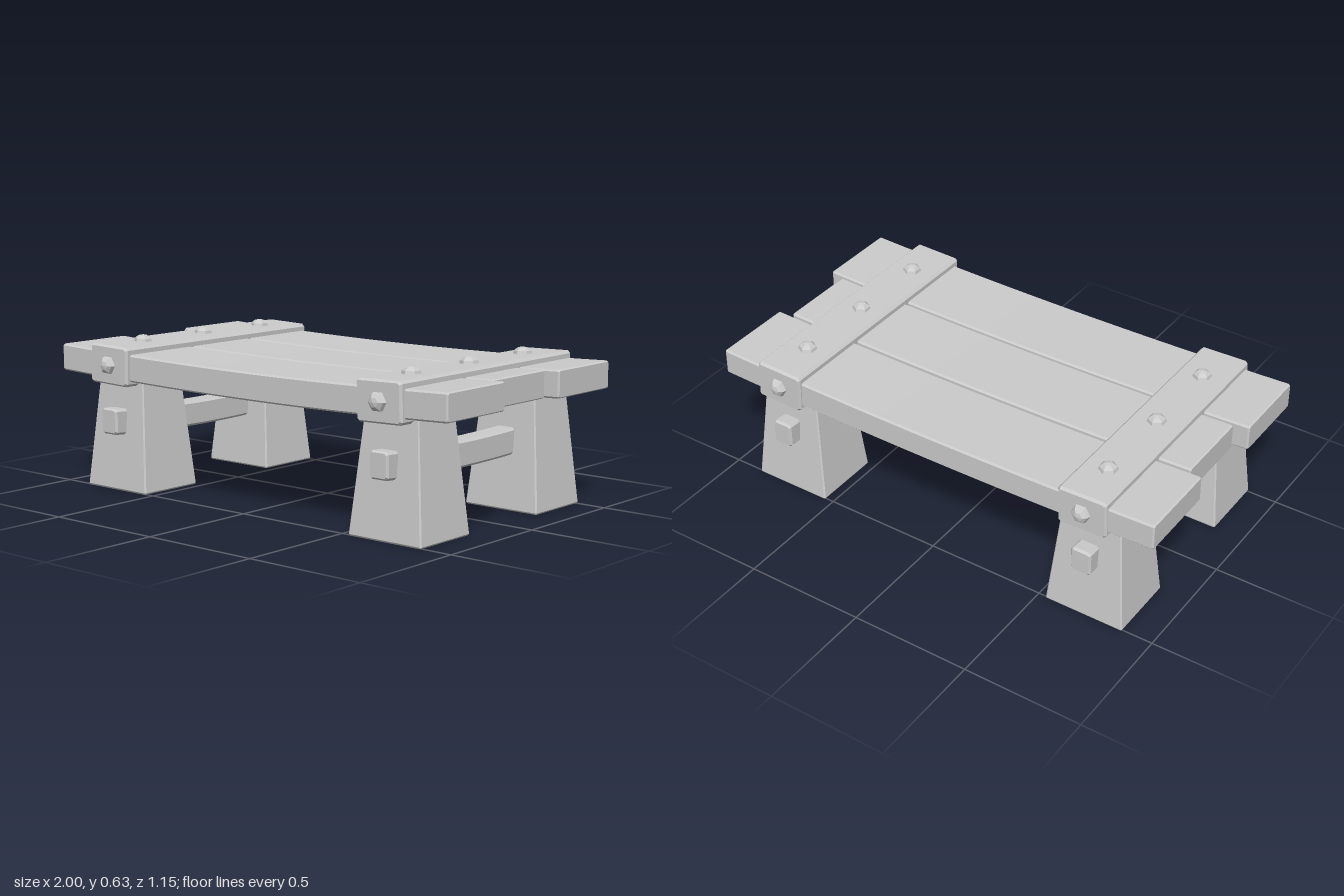
import * as THREE from 'three';
import { toCreasedNormals } from 'three/addons/utils/BufferGeometryUtils.js';

const material = new THREE.MeshStandardMaterial({ color: 0xcccccc });
const facetedMaterial = new THREE.MeshStandardMaterial({ color: 0xcccccc, flatShading: true });

// Chamfered timber, w x h in section, running along z and centred on the origin.
function timber(w, h, length, bevel, steps = 1) {
  const x = w / 2, y = h / 2, c = bevel;
  const shape = new THREE.Shape([
    [x - c, -y], [x, c - y], [x, y - c], [x - c, y],
    [c - x, y], [-x, y - c], [-x, c - y], [c - x, -y],
  ].map(([a, b]) => new THREE.Vector2(a, b)));
  const geometry = new THREE.ExtrudeGeometry(shape, {
    depth: length - 2 * bevel, steps, bevelEnabled: true, bevelSegments: 1,
    bevelSize: bevel * 0.7, bevelOffset: -bevel * 0.7, bevelThickness: bevel,
  });
  return geometry.translate(0, 0, bevel - length / 2);
}

// Moves every vertex by a rule, then restores crisp edges.
function reshape(geometry, rule) {
  const p = geometry.attributes.position, v = new THREE.Vector3();
  for (let i = 0; i < p.count; i++) {
    rule(v.fromBufferAttribute(p, i));
    p.setXYZ(i, v.x, v.y, v.z);
  }
  return toCreasedNormals(geometry, 0.3);
}

function add(parent, name, geometry, mat = material) {
  const mesh = new THREE.Mesh(geometry, mat);
  mesh.name = name;
  parent.add(mesh);
  return mesh;
}

export function createModel() {
  const model = new THREE.Group();
  model.name = 'bench';

  // Sagging seat planks: x start, x end, z start, z end
  const planks = [
    [-0.995, 0.987, -0.528, -0.182],
    [-0.94, 0.932, -0.168, 0.165],
    [-1, 0.996, 0.178, 0.523],
  ];
  for (const [x0, x1, z0, z1] of planks) {
    const geometry = timber(z1 - z0, 0.11, x1 - x0, 0.007, 16).rotateY(Math.PI / 2);
    geometry.translate((x0 + x1) / 2, 0.505, (z0 + z1) / 2);
    add(model, 'seatPlank', reshape(geometry, v => { v.y += 0.02 * v.x * v.x; }));
  }

  // Six-sided domed bolt head pointing up
  const boltGeometry = new THREE.SphereGeometry(0.04, 6, 3, Math.PI / 6, Math.PI * 2, 0, Math.PI / 2);
  boltGeometry.scale(1, 0.8, 1);

  for (const side of [-1, 1]) {
    // Cross band with bolts, tilted to follow the sag
    const band = new THREE.Group();
    band.name = 'crossBand';
    band.position.set(side * 0.702, 0.519, 0);
    band.rotation.z = side * 0.028;
    model.add(band);
    add(band, 'bandBeam', reshape(timber(0.208, 0.16, 1.088, 0.011), () => {}));
    for (const z of [-0.355, -0.003, 0.35]) {
      add(band, 'topBolt', boltGeometry, facetedMaterial).position.set(0, 0.076, z);
    }
    for (const end of [-1, 1]) {
      const bolt = add(band, 'endBolt', boltGeometry, facetedMaterial);
      bolt.position.set(0, 0, end * 0.542);
      bolt.rotation.set(end * Math.PI / 2, Math.PI / 6, 0);

      // Tapered leg
      const leg = timber(0.34, 0.296, 0.47, 0.006).rotateX(-Math.PI / 2).translate(0, 0.235, 0);
      add(model, 'leg', reshape(leg, v => {
        v.x *= 1 - 0.265 * v.y / 0.46;
        v.z *= 1 - 0.265 * v.y / 0.46;
      })).position.set(side * 0.704, 0, end * 0.362);
    }

    // Sagging stretcher passing through both legs
    const stretcher = timber(0.085, 0.106, 1.09, 0.01, 12);
    add(model, 'stretcher', reshape(stretcher, v => {
      v.y += 0.268 + 0.068 * v.z * v.z;
    })).position.x = side * 0.704;
  }
  return model;
}
